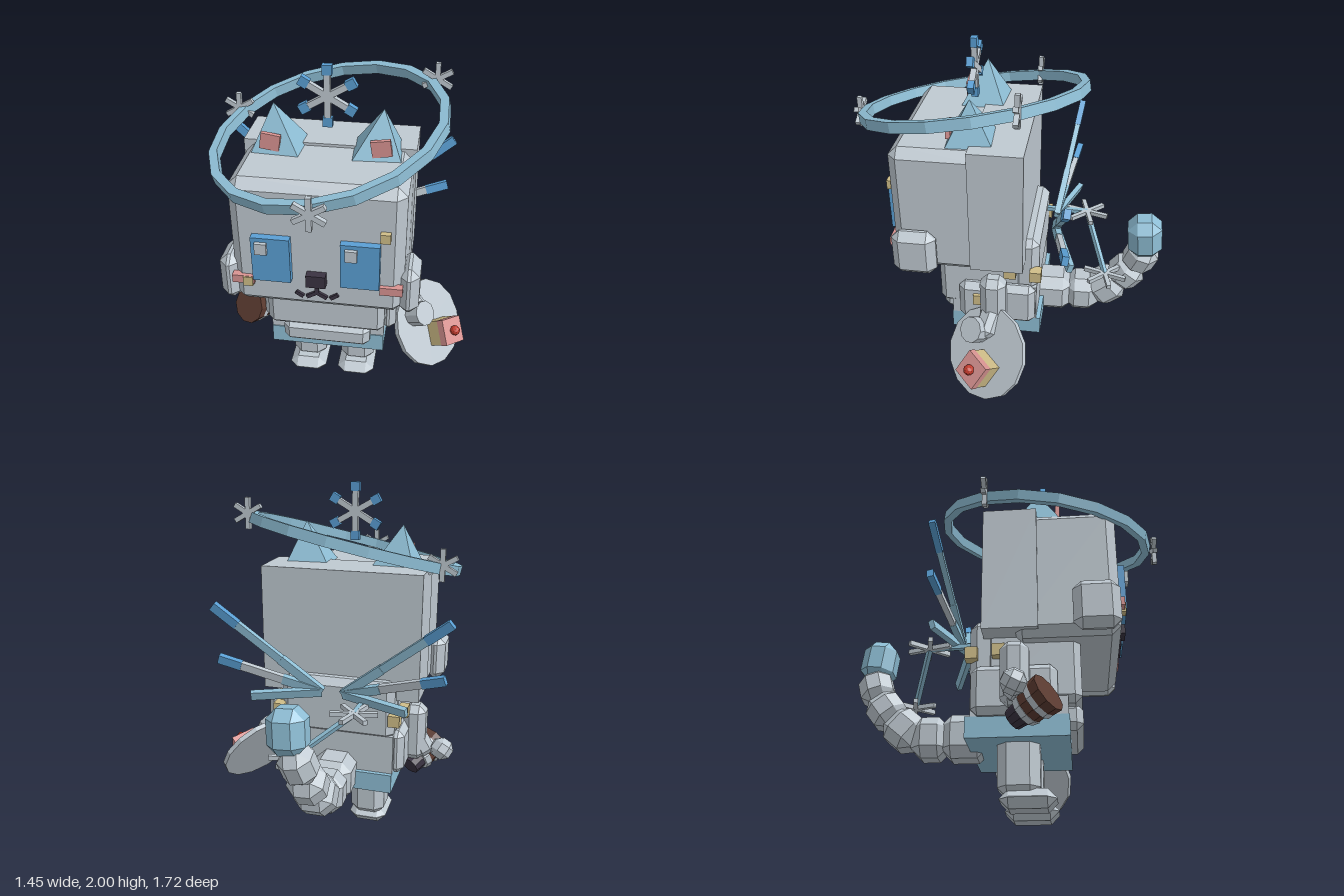
import * as THREE from 'three';
import { ConvexGeometry } from 'three/addons/geometries/ConvexGeometry.js';

const V = (x, y, z) => new THREE.Vector3(x, y, z);
const CX = -0.073; // symmetry plane of the body

function paint(name, color) {
  const m = new THREE.MeshStandardMaterial({ color, flatShading: true });
  m.name = name;
  return m;
}

// Box with all twelve edges cut off
function chamferBox(w, h, d, b) {
  const pts = [];
  for (const i of [-1, 1]) for (const j of [-1, 1]) for (const k of [-1, 1]) {
    const x = w / 2, y = h / 2, z = d / 2;
    pts.push(V(i * x, j * (y - b), k * (z - b)), V(i * (x - b), j * y, k * (z - b)), V(i * (x - b), j * (y - b), k * z));
  }
  return new ConvexGeometry(pts);
}

export function createModel() {
  const root = new THREE.Group();
  root.name = 'frostCat';
  const grey = paint('paleGrey', 0xbfc9d1);
  const ice = paint('iceBlue', 0x8fbfd6);
  const blue = paint('strongBlue', 0x5a9fd4);
  const pink = paint('softPink', 0xd99492);
  const gold = paint('paleGold', 0xd0be88);
  const black = paint('softBlack', 0x3a3342);
  const brown = paint('cocoaBrown', 0x5c3b31);
  const red = paint('berryRed', 0xc0392b);

  const add = (name, geo, mat, p, parent = root) => {
    const m = new THREE.Mesh(geo, mat);
    m.name = name;
    m.position.copy(p);
    parent.add(m);
    return m;
  };
  // Box given by its limits, chamfered when b > 0
  const span = (name, mat, x0, x1, y0, y1, z0, z1, b = 0) => {
    const s = [x1 - x0, y1 - y0, z1 - z0];
    const geo = b ? chamferBox(...s, b) : new THREE.BoxGeometry(...s);
    return add(name, geo, mat, V((x0 + x1) / 2, (y0 + y1) / 2, (z0 + z1) / 2));
  };
  // Same, as a mirrored pair; x limits are distances from the symmetry plane
  const pair = (name, mat, x0, x1, ...rest) => {
    span(name + 'Left', mat, CX + x0, CX + x1, ...rest);
    span(name + 'Right', mat, CX - x1, CX - x0, ...rest);
  };
  // Beam between two points
  const beam = (name, mat, a, b, w, d = w, bevel = 0) => {
    const len = a.distanceTo(b);
    const geo = bevel ? chamferBox(w, len, d, bevel) : new THREE.BoxGeometry(w, len, d);
    const m = add(name, geo, mat, a.clone().lerp(b, 0.5));
    m.quaternion.setFromUnitVectors(V(0, 1, 0), b.clone().sub(a).normalize());
    return m;
  };
  // Six-armed flake facing z, with optional coloured tips
  const flake = (name, p, r, w, tip) => {
    const g = new THREE.Group();
    g.name = name;
    g.position.copy(p);
    for (let i = 0; i < 3; i++) {
      const a = (i * Math.PI) / 3;
      add('arm', new THREE.BoxGeometry(w, r * 2 - (tip ? 0.03 : 0), w), grey, V(0, 0, 0), g).rotation.z = a;
      if (tip) for (const s of [-1, 1]) {
        const c = s * (r - 0.025);
        add('armTip', new THREE.BoxGeometry(0.05, 0.05, 0.035), tip, V(-Math.sin(a) * c, Math.cos(a) * c, 0), g).rotation.z = a;
      }
    }
    root.add(g);
    return g;
  };

  // Head
  span('headFront', grey, -0.51, 0.365, 0.82, 1.55, 0.05, 0.6, 0.05);
  span('headBack', grey, -0.523, 0.378, 0.855, 1.565, -0.105, 0.183);
  pair('cheek', grey, 0.41, 0.517, 0.82, 1.09, 0.36, 0.6, 0.045);

  // Ears
  for (const s of [-1, 1]) {
    const c = s * 0.25;
    const ear = new THREE.ConeGeometry(0.18, 0.24, 4, 1).rotateY(Math.PI / 4);
    const pos = ear.attributes.position;
    for (let i = 0; i < pos.count; i++) if (pos.getY(i) > 0) pos.setX(i, s * 0.03);
    add('ear', ear, ice, V(CX + c, 1.66, 0.19)).rotation.y = s * 0.06;
    add('innerEar', new THREE.BoxGeometry(0.1, 0.085, 0.025), pink, V(CX + s * 0.28, 1.615, 0.295)).rotation.z = -s * 0.15 * -1;
  }

  // Face
  pair('eye', blue, 0.125, 0.32, 1.005, 1.26, 0.59, 0.64);
  for (const x of [-0.37, 0.077]) span('eyeGlint', grey, x, x + 0.06, 1.175, 1.238, 0.62, 0.66);
  pair('blush', pink, 0.32, 0.435, 0.965, 1.01, 0.58, 0.622);
  span('nose', black, -0.122, -0.022, 0.99, 1.06, 0.59, 0.645);
  span('mouthStem', black, -0.083, -0.062, 0.93, 0.99, 0.59, 0.615);
  for (const s of [-1, 1]) {
    beam('mouthInner', black, V(CX, 0.935, 0.602), V(CX + s * 0.052, 0.905, 0.602), 0.02, 0.026);
    beam('mouthOuter', black, V(CX + s * 0.07, 0.905, 0.602), V(CX + s * 0.108, 0.93, 0.602), 0.02, 0.026);
  }
  span('faceStud', gold, 0.245, 0.295, 1.28, 1.33, 0.58, 0.63);
  span('faceStud', gold, -0.45, -0.4, 0.955, 1.008, 0.58, 0.63);

  // Torso
  span('chest', grey, -0.405, 0.255, 0.5, 0.97, -0.1, 0.39, 0.035);
  span('backPlate', grey, -0.4, 0.25, 0.63, 0.97, -0.18, 0.1, 0.04);
  span('waist', grey, -0.4, 0.25, 0.435, 0.66, -0.17, 0.32);
  span('skirt', ice, -0.4, 0.25, 0.325, 0.435, -0.195, 0.325);
  span('belly', grey, -0.32, 0.175, 0.385, 0.525, 0.2, 0.392, 0.035);
  pair('sidePanel', grey, 0.3, 0.385, 0.43, 0.69, -0.165, 0.27, 0.035);
  for (const [x, y, z] of [[0.28, 0.79, -0.025], [0.26, 0.765, -0.165], [-0.425, 0.77, -0.025], [-0.405, 0.765, -0.165], [0.3, 0.6, 0.15]])
    add('bodyStud', new THREE.BoxGeometry(0.065, 0.065, 0.065), gold, V(x, y, z));

  // Legs
  pair('leg', grey, 0.047, 0.248, 0.06, 0.4, -0.045, 0.17, 0.05);
  pair('foot', grey, 0.037, 0.258, 0.003, 0.1, -0.035, 0.25, 0.047);

  // Arms
  pair('upperArm', grey, 0.345, 0.475, 0.45, 0.785, -0.01, 0.135, 0.04);
  beam('leftForearm', grey, V(0.34, 0.56, 0.06), V(0.45, 0.44, 0.1), 0.12, 0.12, 0.03);
  beam('rightForearm', grey, V(-0.47, 0.62, 0.06), V(-0.55, 0.47, 0.08), 0.12, 0.12, 0.035);
  add('rightHand', chamferBox(0.12, 0.12, 0.12, 0.035), grey, V(-0.64, 0.515, 0.07)).rotation.set(0.4, 0.3, 0.5);

  // Plate carried on the left arm, with a small cake
  const plate = new THREE.Group();
  plate.name = 'plate';
  plate.position.set(0.5, 0.37, 0.085);
  plate.up.set(0, 1, 0);
  plate.lookAt(plate.position.clone().add(V(0.7, 0.53, 0.48)));
  root.add(plate);
  const disc = (r, h, n) => new THREE.CylinderGeometry(r, r, h, n).rotateX(Math.PI / 2);
  add('plateDisc', disc(0.26, 0.03, 14), grey, V(0, 0, -0.01), plate);
  add('leftHand', disc(0.073, 0.14, 10), grey, V(-0.085, 0.1, 0.03), plate);
  const cake = new THREE.Group();
  cake.name = 'cake';
  cake.position.set(0.035, -0.08, 0);
  cake.rotation.z = -0.28;
  plate.add(cake);
  add('sponge', new THREE.BoxGeometry(0.145, 0.145, 0.09), gold, V(0, 0, 0.045), cake);
  add('icing', new THREE.BoxGeometry(0.15, 0.15, 0.045), pink, V(0, 0, 0.112), cake);
  add('berry', new THREE.IcosahedronGeometry(0.03, 1), red, V(0, 0, 0.15), cake);

  // Mug held in the right hand
  const mug = new THREE.Group();
  mug.name = 'mug';
  mug.position.set(-0.555, 0.475, 0.21);
  mug.quaternion.setFromUnitVectors(V(0, 1, 0), V(-0.45, 0.42, 0.78).normalize());
  root.add(mug);
  [[brown, 0.105, 0.1, 0.05, 0], [grey, 0.1, 0.1, 0.03, -0.04], [brown, 0.085, 0.085, 0.05, -0.08],
    [grey, 0.09, 0.08, 0.035, -0.12], [black, 0.065, 0.055, 0.07, -0.17]].forEach(([m, a, b, h, y], i) =>
    add('mugBand' + i, new THREE.CylinderGeometry(a, b, h, 10), m, V(0, y, 0), mug));

  // Tail
  const path = [V(-0.075, 0.42, -0.13), V(-0.08, 0.42, -0.34), V(-0.085, 0.42, -0.5), V(-0.08, 0.53, -0.63),
    V(-0.07, 0.655, -0.725), V(-0.03, 0.81, -0.775)];
  for (let i = 0; i < path.length - 1; i++) {
    const w = 0.235 - i * 0.013, dir = path[i + 1].clone().sub(path[i]).setLength(0.02);
    beam('tailSegment', grey, path[i].clone().sub(dir), path[i + 1].clone().add(dir), w, w, 0.055);
  }
  beam('tailTip', ice, V(-0.01, 0.79, -0.77), V(0.005, 1.03, -0.745), 0.2, 0.19, 0.055);

  // Icicle wings
  for (const s of [-1, 1]) {
    const at = (x, y, z) => V(CX + s * x, y, z);
    const base = at(0.06, 0.92, -0.245);
    [[at(0.64, 1.385, -0.34), ice], [at(0.62, 1.09, -0.34), grey]].forEach(([end, mat]) => {
      const a = base.clone().lerp(end, 0.38), b = base.clone().lerp(end, 0.78);
      beam('wingRoot', ice, base, a, 0.05, 0.035);
      beam('wingMiddle', mat, a, b, 0.045, 0.03);
      beam('wingTip', blue, b, end, 0.05, 0.035);
    });
    beam('wingShort', ice, base, at(0.43, 0.9, -0.36), 0.05, 0.03);
  }

  // Flakes on a cord behind the back
  const f1 = V(-0.24, 0.885, -0.42), f2 = V(0.055, 0.655, -0.55);
  beam('cord', ice, V(-0.25, 0.885, -0.17), f1, 0.025);
  beam('cord', ice, f1, f2, 0.025);
  for (const p of [f1, f2]) flake('cordFlake', p, 0.125, 0.025).rotation.set(Math.PI / 2, 0, 0.3);

  // Tilted halo ring with flakes
  const r0 = 0.575, r1 = 0.62, h = 0.028;
  const ringProfile = [[r0, -h], [r1, -h], [r1, h], [r0, h], [r0, -h]].map(([x, y]) => new THREE.Vector2(x, y));
  const ring = add('halo', new THREE.LatheGeometry(ringProfile, 18), ice, V(CX, 1.662, 0.215));
  ring.quaternion.setFromUnitVectors(V(0, 1, 0), V(-0.214, 1, 0.175).normalize());
  for (const p of [V(-0.05, 1.555, 0.85), V(-0.615, 1.62, -0.085), V(0.45, 1.845, -0.085)]) flake('haloFlake', p, 0.085, 0.026);
  flake('crownFlake', V(CX, 1.84, 0.21), 0.16, 0.032, blue);

  return root;
}
